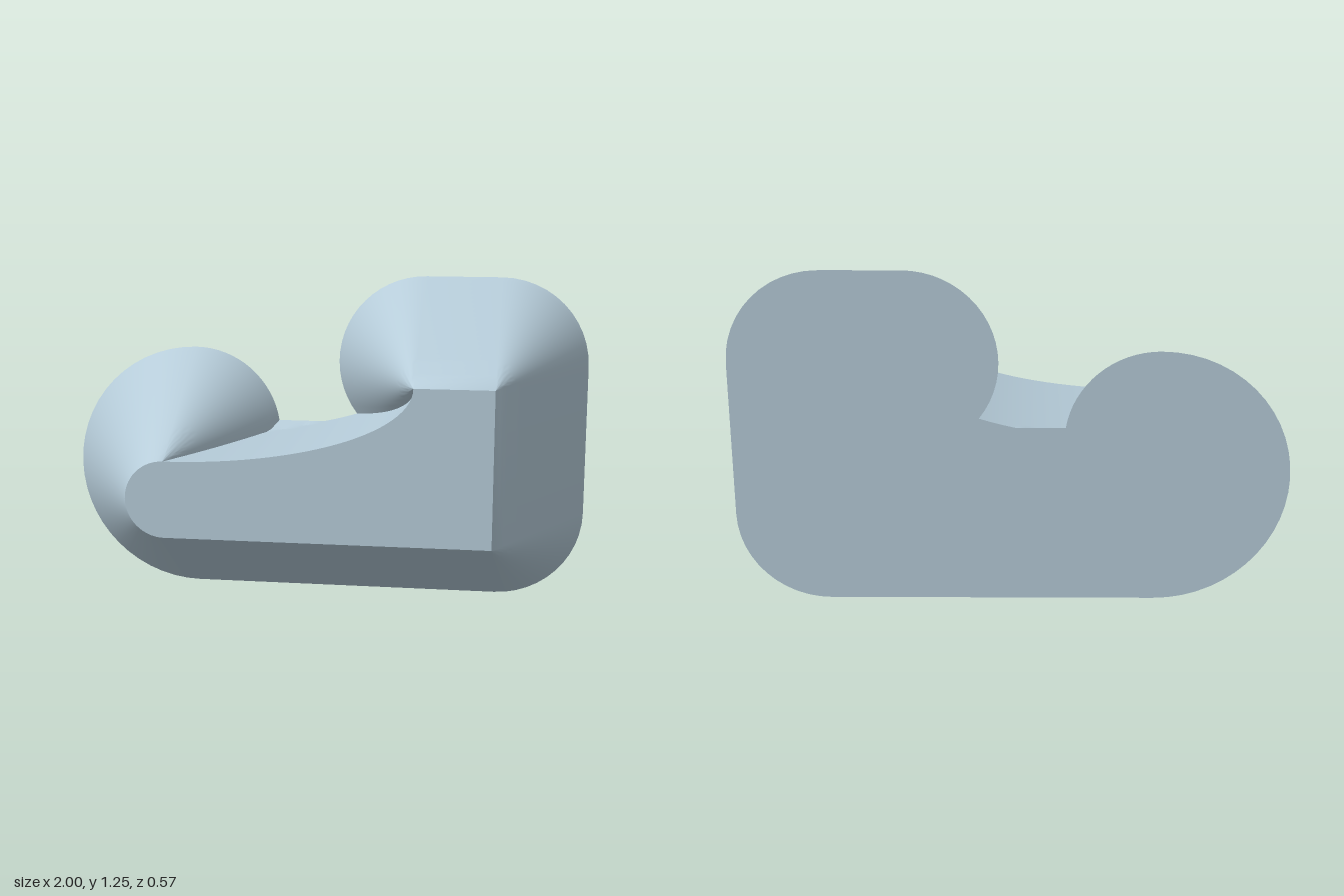
import * as THREE from 'three';
import { toCreasedNormals } from 'three/addons/utils/BufferGeometryUtils.js';

const FLARE = 0.335;   // how far the outline grows from front to back
const HALF = 0.2875;   // half depth
const SLICES = 24;
const CAP = { x: -0.525, y: 0.477, r: 0.143 }; // rounded left end
const L = { x: -0.525, y: 0.62 };              // left end of the hollow
const R = { x: 0.38, y: 0.91 };                // right end of the hollow
const A = R.x - L.x, B = R.y - L.y;            // quarter ellipse of the hollow
const D = Math.PI / 180;

// Height of the hollow's floor; the flared base pokes through at the back
function floorY(x, r) {
  const t = THREE.MathUtils.clamp((x - L.x) / A, 0, 1);
  return Math.max(R.y - B * Math.sqrt(1 - t * t), 0.335 + r);
}

// Angle at which a circle of radius r around c meets the floor
function meetFloor(c, r, above, below) {
  for (let i = 0; i < 40; i++) {
    const m = (above + below) / 2;
    if (c.y + r * Math.sin(m) > floorY(c.x + r * Math.cos(m), r)) above = m;
    else below = m;
  }
  return (above + below) / 2;
}

// Outline of one slice, anticlockwise seen from the front
function outline(r) {
  const pts = [];
  const arc = (x, y, rad, a0, a1, n) => {
    for (let i = 0; i <= n; i++) {
      const a = a0 + (a1 - a0) * i / n;
      pts.push(new THREE.Vector2(x + rad * Math.cos(a), y + rad * Math.sin(a)));
    }
  };
  const tR = meetFloor(R, r, 180 * D, 270 * D);
  const tL = meetFloor(L, r, 90 * D, -20 * D);
  const ellipseAngle = (x) => Math.acos(THREE.MathUtils.clamp((x - L.x) / A, -1, 1));
  arc(0.665, 0.335, r, 270 * D, 360 * D, 12);
  arc(0.665, R.y, r, 0, 90 * D, 12);
  arc(R.x, R.y, r, 90 * D, tR, 20);
  const p0 = ellipseAngle(R.x + r * Math.cos(tR));
  const p1 = ellipseAngle(L.x + r * Math.cos(tL));
  for (let i = 1; i < 28; i++) {
    const x = L.x + A * Math.cos(p0 + (p1 - p0) * i / 28);
    pts.push(new THREE.Vector2(x, floorY(x, r)));
  }
  arc(L.x, L.y, r, tL, 90 * D, 16);
  arc(CAP.x, CAP.y, CAP.r + r, 90 * D, 270 * D, 28);
  return pts;
}

export function createModel() {
  const rings = [], pos = [], index = [];
  for (let k = 0; k <= SLICES; k++) {
    const s = k / SLICES;
    const ring = outline(FLARE * s);
    rings.push(ring);
    ring.forEach((p) => pos.push(p.x, p.y, HALF - 2 * HALF * s));
  }
  const n = rings[0].length;

  // Flared walls between neighbouring slices
  for (let k = 0; k < SLICES; k++) {
    for (let i = 0; i < n; i++) {
      const a = k * n + i, b = k * n + (i + 1) % n;
      index.push(a, a + n, b, b, a + n, b + n);
    }
  }
  // Flat front and back faces
  for (const [a, b, c] of THREE.ShapeUtils.triangulateShape(rings[0], [])) index.push(a, b, c);
  const o = SLICES * n;
  for (const [a, b, c] of THREE.ShapeUtils.triangulateShape(rings[SLICES], [])) index.push(o + a, o + c, o + b);

  const geo = new THREE.BufferGeometry();
  geo.setAttribute('position', new THREE.Float32BufferAttribute(pos, 3));
  geo.setIndex(index);

  const body = new THREE.Mesh(
    toCreasedNormals(geo, 0.4),
    new THREE.MeshStandardMaterial({ color: 0xb4cad7 })
  );
  body.name = 'flaredBody';
  const group = new THREE.Group();
  group.name = 'flaredBlock';
  group.add(body);
  return group;
}
